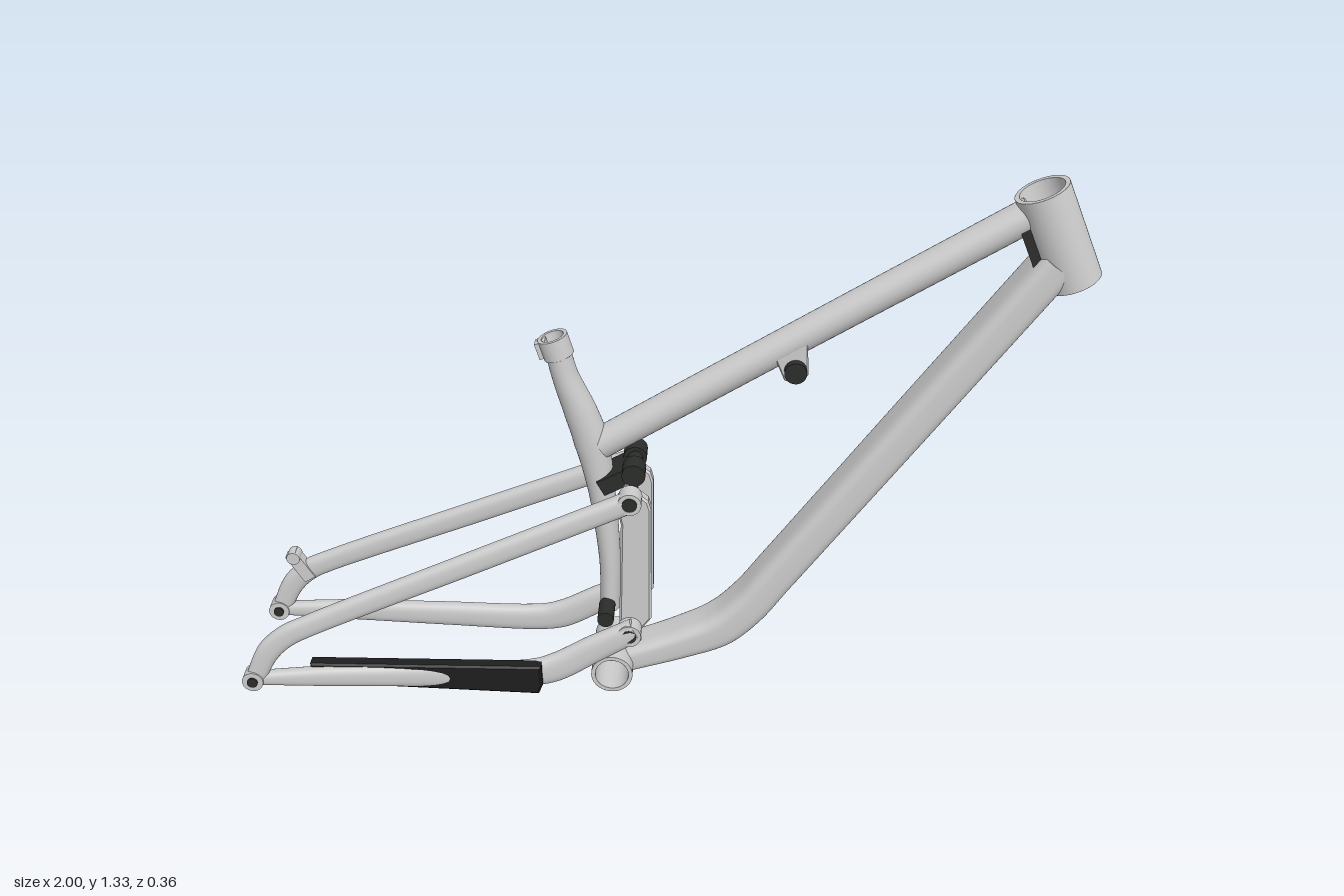
import * as THREE from 'three';

const grey = new THREE.MeshStandardMaterial({ color: 0xcccccc, side: THREE.DoubleSide });
const dark = new THREE.MeshStandardMaterial({ color: 0x2b2d2b });
const black = new THREE.MeshStandardMaterial({ color: 0x1c1e1c });

function add(parent, name, geo, mat = grey) {
  const mesh = new THREE.Mesh(geo, mat);
  mesh.name = name;
  parent.add(mesh);
  return mesh;
}

// Sweep a superelliptic section along stations [x, y, z, halfInPlane, halfZ].
// power 2 gives an ellipse, higher powers give flatter sides.
function sweep(stations, power = 2, steps = 48, sides = 32) {
  const curve = new THREE.CatmullRomCurve3(stations.map(s => new THREE.Vector3(s[0], s[1], s[2])), false, 'centripetal');
  const pos = [], idx = [], centres = [];
  const se = v => Math.sign(v) * Math.pow(Math.abs(v), 2 / power);
  for (let i = 0; i <= steps; i++) {
    const t = i / steps, p = curve.getPoint(t), d = curve.getTangent(t);
    const l = Math.hypot(d.x, d.y), nx = -d.y / l, ny = d.x / l;
    const f = t * (stations.length - 1), k = Math.min(Math.floor(f), stations.length - 2);
    const a = THREE.MathUtils.lerp(stations[k][3], stations[k + 1][3], f - k);
    const b = THREE.MathUtils.lerp(stations[k][4], stations[k + 1][4], f - k);
    centres.push(p);
    for (let j = 0; j < sides; j++) {
      const w = j / sides * Math.PI * 2, u = se(Math.cos(w)) * a, v = se(Math.sin(w)) * b;
      pos.push(p.x + nx * u, p.y + ny * u, p.z + v);
      if (i < steps) {
        const A = i * sides + j, B = i * sides + (j + 1) % sides;
        idx.push(A, B, A + sides, B, B + sides, A + sides);
      }
    }
  }
  // end caps with their own vertices, to keep the rim sharp
  for (const end of [0, steps]) {
    const c = pos.length / 3;
    pos.push(...centres[end].toArray(), ...pos.slice(end * sides * 3, (end + 1) * sides * 3));
    for (let j = 0; j < sides; j++) {
      const A = c + 1 + j, B = c + 1 + (j + 1) % sides;
      if (end) idx.push(c, A, B); else idx.push(c, B, A);
    }
  }
  const g = new THREE.BufferGeometry();
  g.setAttribute('position', new THREE.Float32BufferAttribute(pos, 3));
  g.setIndex(idx);
  g.computeVertexNormals();
  return g;
}

// Open tube with a wall, along y, centred; corners doubled for crisp rims
function hollow(r, inner, len) {
  const h = len / 2, e = 0.0005;
  const pts = [[inner, -h], [inner + e, -h], [r - e, -h], [r, -h], [r, -h + e], [r, h - e], [r, h], [r - e, h],
    [inner + e, h], [inner, h], [inner, h - e], [inner, -h + e], [inner, -h]];
  return new THREE.LatheGeometry(pts.map(p => new THREE.Vector2(...p)), 40);
}

// Cylinder lying along z
function pin(parent, name, x, y, z, r, len, mat = grey) {
  const m = add(parent, name, new THREE.CylinderGeometry(r, r, len, 24).rotateX(Math.PI / 2), mat);
  m.position.set(x, y, z);
  return m;
}

// Flat plate cut from an outline in the xy plane, centred on z
function plate(points, thick, bevel = 0.005) {
  const s = new THREE.Shape(points.map(p => new THREE.Vector2(...p)));
  return new THREE.ExtrudeGeometry(s, { depth: thick - 2 * bevel, bevelEnabled: true, bevelSize: bevel, bevelOffset: -bevel,
    bevelThickness: bevel, bevelSegments: 1 }).translate(0, 0, -thick / 2 + bevel);
}

export function createModel() {
  const root = new THREE.Group();
  root.name = 'bicycleFrame';

  // Head tube
  const tilt = Math.atan2(0.091, 0.215);
  const head = add(root, 'headTube', hollow(0.063, 0.052, 0.234));
  head.position.set(0.893, 1.198, 0);
  head.rotation.z = tilt;
  const web = add(root, 'headGusset', new THREE.BoxGeometry(0.05, 0.15, 0.07), dark);
  web.position.set(0.845, 1.185, 0);
  web.rotation.z = tilt;

  // Main tubes
  add(root, 'downTube', sweep([
    [0.895, 1.14, 0, 0.044, 0.061], [0.6, 0.73, 0, 0.045, 0.061], [0.3, 0.313, 0, 0.045, 0.061],
    [0.23, 0.217, 0, 0.046, 0.061], [0.165, 0.155, 0, 0.046, 0.06], [0.07, 0.11, 0, 0.04, 0.057],
    [-0.06, 0.062, 0, 0.034, 0.054]], 3.6, 72, 40));
  add(root, 'topTube', sweep([[-0.125, 0.655, 0, 0.038, 0.037], [0.35, 0.952, 0, 0.038, 0.037],
    [0.83, 1.25, 0, 0.039, 0.039]]));
  add(root, 'seatTube', sweep([
    [-0.107, 0.2, 0, 0.024, 0.035], [-0.107, 0.34, 0, 0.026, 0.036], [-0.125, 0.53, 0, 0.032, 0.037],
    [-0.147, 0.66, 0, 0.042, 0.038], [-0.172, 0.74, 0, 0.039, 0.037], [-0.205, 0.83, 0, 0.031, 0.035],
    [-0.222, 0.9, 0, 0.029, 0.034]]));
  const collar = add(root, 'seatCollar', hollow(0.036, 0.027, 0.05));
  collar.position.set(-0.226, 0.907, 0);
  collar.rotation.z = 0.3;
  const clamp = add(root, 'seatClamp', new THREE.BoxGeometry(0.025, 0.04, 0.03));
  clamp.position.set(-0.256, 0.9, 0);
  clamp.rotation.z = 0.3;

  // Bottom bracket shell
  const shell = add(root, 'bottomBracketShell', hollow(0.051, 0.041, 0.18));
  shell.rotation.x = Math.PI / 2;
  shell.position.set(-0.1, 0.053, 0);

  // Rear triangle and links, mirrored across z
  for (const s of [1, -1]) {
    const side = new THREE.Group();
    side.name = s > 0 ? 'frontRearTriangle' : 'backRearTriangle';
    root.add(side);
    add(side, 'seatStay', sweep([
      [-0.04, 0.56, s * 0.103, 0.027, 0.02], [-0.45, 0.382, s * 0.127, 0.028, 0.019],
      [-0.83, 0.217, s * 0.149, 0.027, 0.018], [-0.885, 0.188, s * 0.152, 0.028, 0.018],
      [-0.93, 0.145, s * 0.154, 0.028, 0.018], [-0.97, 0.065, s * 0.155, 0.024, 0.017]], 2.6));
    add(side, 'chainStay', sweep([
      [-0.04, 0.2, s * 0.108, 0.03, 0.02], [-0.14, 0.145, s * 0.112, 0.035, 0.02],
      [-0.235, 0.092, s * 0.118, 0.037, 0.02], [-0.29, 0.078, s * 0.122, 0.035, 0.02],
      [-0.55, 0.073, s * 0.135, 0.031, 0.02], [-0.8, 0.07, s * 0.147, 0.026, 0.018],
      [-0.97, 0.065, s * 0.154, 0.017, 0.016]], 2.6));
    pin(side, 'dropout', -0.973, 0.066, s * 0.155, 0.026, 0.042);
    pin(side, 'axleBolt', -0.973, 0.066, s * 0.155, 0.013, 0.05, dark);

    // Upright link between the stays
    add(side, 'linkPlate', plate([[-0.06, 0.585], [-0.01, 0.545], [-0.003, 0.52], [-0.003, 0.215],
      [-0.04, 0.165], [-0.08, 0.185], [-0.08, 0.235], [-0.075, 0.48], [-0.088, 0.54]], 0.032)).position.z = s * 0.068;
    pin(side, 'upperPivot', -0.052, 0.557, s * 0.1, 0.028, 0.046);
    pin(side, 'upperPivotBolt', -0.052, 0.557, s * 0.085, 0.018, 0.08, dark);
    pin(side, 'lowerPivot', -0.055, 0.19, s * 0.103, 0.029, 0.046);
    pin(side, 'lowerPivotBolt', -0.055, 0.19, s * 0.088, 0.018, 0.08, dark);
    pin(side, 'mainPivotBolt', -0.113, 0.22, s * 0.065, 0.02, 0.07, dark);
    pin(side, 'shockEyeBolt', -0.045, 0.605, s * 0.045, 0.028, 0.05, dark);

    // Upper shock mount under the top tube
    add(side, 'shockMountTab', plate([[0.275, 0.905], [0.3, 0.845], [0.33, 0.835], [0.355, 0.86],
      [0.35, 0.95]], 0.014, 0.003)).position.z = s * 0.028;
    pin(side, 'shockMountBolt', 0.325, 0.872, s * 0.042, 0.026, 0.024, dark);
  }
  pin(root, 'shockAxle', -0.045, 0.605, 0, 0.018, 0.1, dark);
  pin(root, 'pivotAxle', -0.113, 0.22, 0, 0.016, 0.17, dark);
  const yoke = add(root, 'linkYoke', new THREE.BoxGeometry(0.09, 0.04, 0.09), dark);
  yoke.position.set(-0.085, 0.575, 0);
  yoke.rotation.z = 0.5;

  // Chain stay guard, one side only
  const guard = add(root, 'chainStayGuard', plate([[-0.835, 0.045], [-0.275, 0.036], [-0.265, 0.06],
    [-0.268, 0.115], [-0.835, 0.102]], 0.036), black);
  guard.position.set(-0.55, 0, 0.133);
  guard.geometry.translate(0.55, 0, 0);
  guard.rotation.y = -0.02;

  // Brake mount on the other side
  const tab = add(root, 'brakeTab', new THREE.BoxGeometry(0.032, 0.085, 0.03));
  tab.position.set(-0.905, 0.205, -0.145);
  tab.rotation.z = 0.55;
  pin(root, 'brakeTabEye', -0.92, 0.233, -0.142, 0.017, 0.036);

  return root;
}
